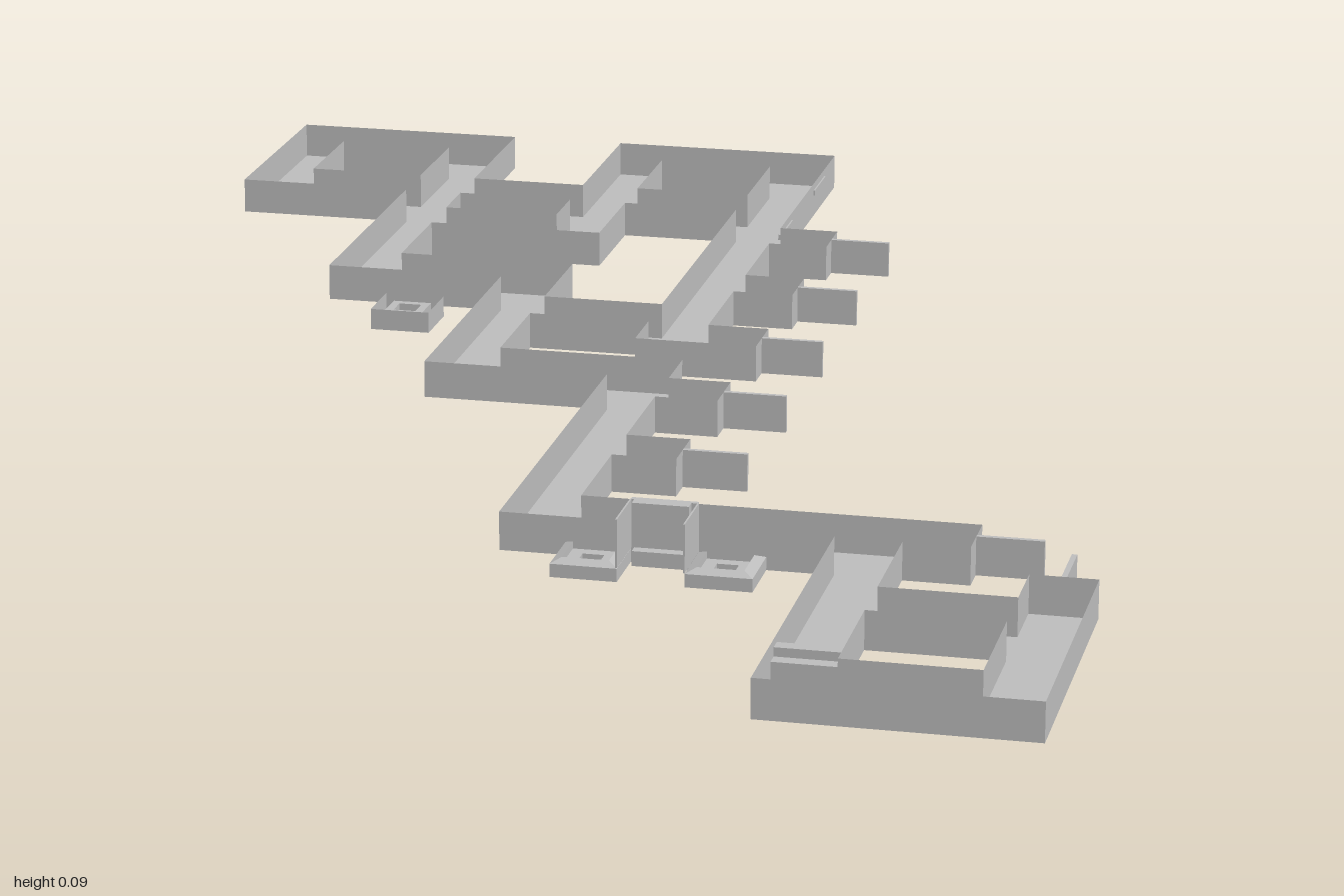
import * as THREE from 'three';
import { mergeGeometries } from 'three/addons/utils/BufferGeometryUtils.js';

const CELL = 2 / 27, COLS = 18, ROWS = 27;
const FLOOR = 0.013, TOP = 0.057;
const X = c => (c - COLS / 2) * CELL;
const Z = r => (r - ROWS / 2) * CELL;

export function createModel() {
  const group = new THREE.Group();
  const stone = new THREE.MeshStandardMaterial({ color: 0xbcbcbc, side: THREE.DoubleSide, flatShading: true });
  stone.name = 'grey stone';

  const add = (name, geometry) => {
    const mesh = new THREE.Mesh(geometry, stone);
    mesh.name = name;
    group.add(mesh);
    return mesh;
  };
  const box = (name, x0, x1, y0, y1, z0, z1) => add(name,
    new THREE.BoxGeometry(x1 - x0, y1 - y0, z1 - z0)
      .translate((x0 + x1) / 2, (y0 + y1) / 2, (z0 + z1) / 2));

  // Corridors as inclusive runs of grid cells: column, row to column, row
  const runs = [
    [0, 0, 3, 0], [0, 0, 0, 3], [0, 3, 9, 3], [3, 0, 3, 8],   // back right room
    [6, 0, 9, 0], [6, 0, 6, 5], [9, 0, 9, 11],                // back left room
    [3, 5, 6, 5], [3, 8, 6, 8], [6, 8, 6, 13],                // winding middle
    [6, 10, 9, 10], [6, 13, 9, 13], [9, 13, 9, 20],
    [9, 20, 15, 20], [14, 20, 14, 26],                        // front room
    [14, 23, 17, 23], [14, 26, 17, 26], [17, 22, 17, 26],
  ];
  const stubRows = [5, 8, 11, 14, 17];
  for (const r of stubRows) runs.push([10, r, 10, r]);

  const cells = new Set();
  for (const [c0, r0, c1, r1] of runs)
    for (let c = c0; c <= c1; c++) for (let r = r0; r <= r1; r++) cells.add(c + r * 100);
  const open = (c, r) => cells.has(c + r * 100);

  // Floor tiles, and a wall wherever a tile borders empty ground
  const floors = [], walls = [];
  const sides = [[0, 1, 0], [1, 0, Math.PI / 2], [0, -1, Math.PI], [-1, 0, -Math.PI / 2]];
  for (let r = 0; r < ROWS; r++) for (let c = 0; c < COLS; c++) {
    if (!open(c, r)) continue;
    const x = X(c + 0.5), z = Z(r + 0.5);
    floors.push(new THREE.PlaneGeometry(CELL, CELL).rotateX(-Math.PI / 2).translate(x, FLOOR, z));
    for (const [dc, dr, angle] of sides) {
      if (open(c + dc, r + dr)) continue;
      walls.push(new THREE.PlaneGeometry(CELL, TOP - FLOOR).rotateY(angle)
        .translate(x + dc * CELL / 2, (FLOOR + TOP) / 2, z + dr * CELL / 2));
    }
  }
  add('corridorFloor', mergeGeometries(floors));
  add('corridorWalls', mergeGeometries(walls));

  // Thin upright fins beyond the ends of the side passages
  const fin = 0.003;
  const sideFin = (c, r) => box('passageFin', X(c), X(c + 1), FLOOR, TOP, Z(r + 0.5) - fin, Z(r + 0.5) + fin);
  for (const r of stubRows) sideFin(11, r);
  sideFin(16, 20);
  box('passageFin', X(17.5) - fin, X(17.5) + fin, FLOOR, TOP, Z(21), Z(22));

  // Square basins turned from a four-sided profile
  const basin = (name, c, r, profile) => {
    const points = profile.map(([half, y]) => new THREE.Vector2(half * Math.SQRT2, y));
    add(name, new THREE.LatheGeometry(points, 4).rotateY(Math.PI / 4)
      .translate(X(c + 0.5), 0, Z(r + 0.5)));
  };
  for (const c of [10, 12])
    basin('gatePedestal', c, 21, [[0.037, FLOOR], [0.037, 0.028], [0.026, 0.033], [0.026, 0.025], [0.012, 0.025], [0.012, FLOOR]]);
  basin('sunkenPit', 4, 9, [[0.037, 0.026], [0.037, 0], [0.024, 0], [0.024, 0.02], [0.014, 0.02], [0.014, 0.008], [0, 0.008]]);

  // Raised gate between the pedestals
  box('gatePanel', X(11), X(12), FLOOR, 0.085, 0.556, 0.562);
  box('gateLintel', 0.152, 0.215, 0.068, 0.085, 0.562, 0.575);
  box('gateStep', 0.152, 0.215, FLOOR, 0.03, 0.562, 0.575);
  for (const c of [11, 12])
    box('gateCheek', X(c) - 0.001, X(c) + 0.001, 0.03, 0.085, 0.562, 0.633);

  // Steps across the front room's right passage
  [0.025, 0.035, 0.025].forEach((h, i) =>
    box('passageStep', X(14), X(15), FLOOR, FLOOR + h, 0.852 + i * 0.016, 0.868 + i * 0.016));

  // Narrow ledges on the outer walls
  box('frontLedge', X(15), X(16), 0.041, 0.048, 0.994, 1);
  for (const r of [4, 1]) box('sideLedge', X(10) - 0.003, X(10) + 0.002, 0.041, 0.048, Z(r), Z(r + 1));

  return group;
}
